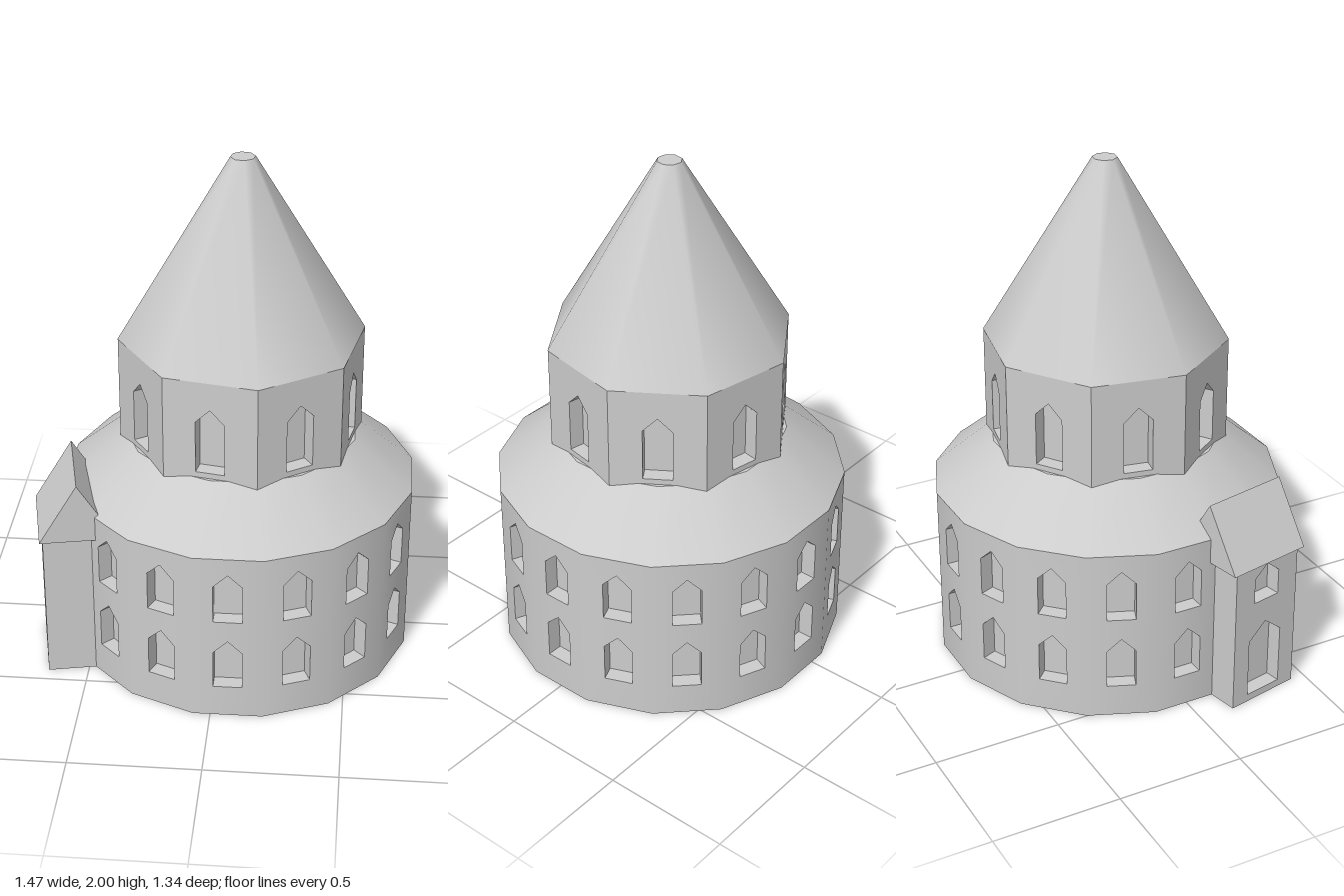
import * as THREE from 'three';
import { mergeGeometries } from 'three/addons/utils/BufferGeometryUtils.js';

const START = Math.PI / 16; // first corner of every ring
const NICHE = 0.06;         // window depth

const stone = new THREE.MeshStandardMaterial({ color: 0xcccccc });
stone.name = 'stone';

function mesh(name, geometry) {
  const m = new THREE.Mesh(geometry, stone);
  m.name = name;
  return m;
}

// Pointed window outline, anticlockwise
function windowOutline({ width, sill, shoulder, peak }) {
  const h = width / 2;
  return [[-h, sill], [h, sill], [h, shoulder], [0, peak], [-h, shoulder]]
    .map(([x, y]) => new THREE.Vector2(x, y));
}

// Reveal faces running back from a window outline
function revealGeometry(outline) {
  const pos = [];
  outline.forEach((a, i) => {
    const b = outline[(i + 1) % outline.length];
    pos.push(a.x, a.y, 0, b.x, b.y, 0, b.x, b.y, -NICHE);
    pos.push(a.x, a.y, 0, b.x, b.y, -NICHE, a.x, a.y, -NICHE);
  });
  const g = new THREE.BufferGeometry();
  g.setAttribute('position', new THREE.Float32BufferAttribute(pos, 3));
  g.computeVertexNormals();
  return g;
}

// Flat wall with recessed windows; a curve radius rounds its shading
function wallGeometry(width, y0, y1, windows, curve = 0) {
  const h = width / 2;
  const shape = new THREE.Shape([[-h, y0], [h, y0], [h, y1], [-h, y1]]
    .map(([x, y]) => new THREE.Vector2(x, y)));
  const parts = [];
  for (const w of windows) {
    const outline = windowOutline(w);
    shape.holes.push(new THREE.Path(outline));
    parts.push(revealGeometry(outline));
    const pane = new THREE.ShapeGeometry(new THREE.Shape(outline));
    parts.push(pane.translate(0, 0, -NICHE));
  }
  const face = new THREE.ShapeGeometry(shape);
  if (curve) {
    const p = face.attributes.position;
    for (let i = 0; i < p.count; i++) {
      const a = Math.atan2(p.getX(i), curve);
      face.attributes.normal.setXYZ(i, Math.sin(a), 0, Math.cos(a));
    }
  }
  parts.push(face);
  return mergeGeometries(parts.map((g) => {
    const n = g.index ? g.toNonIndexed() : g;
    n.deleteAttribute('uv');
    return n;
  }));
}

// Ring of equal walls around the y axis
function wallRing(name, sides, radius, y0, y1, windows, smooth, blank = -1) {
  const ring = new THREE.Group();
  ring.name = name;
  const apothem = radius * Math.cos(Math.PI / sides);
  const width = 2 * radius * Math.sin(Math.PI / sides);
  for (let k = 0; k < sides; k++) {
    const g = wallGeometry(width, y0, y1, k === blank ? [] : windows, smooth ? apothem : 0);
    g.translate(0, 0, apothem).rotateY(START + (2 * k + 1) * Math.PI / sides);
    ring.add(mesh(name + 'Panel', g));
  }
  return ring;
}

function cone(name, top, bottom, y0, y1, sides) {
  const g = new THREE.CylinderGeometry(top, bottom, y1 - y0, sides, 1, false, START);
  return mesh(name, g.translate(0, (y0 + y1) / 2, 0));
}

// Gabled stair annex; local +z points away from the drum
function makeAnnex() {
  const annex = new THREE.Group();
  annex.name = 'annex';
  const out = 0.135, half = 0.155, eave = 0.6, depth = 0.21;
  const front = wallGeometry(half * 2, 0, eave, [
    { width: 0.16, sill: 0.03, shoulder: 0.27, peak: 0.335 },
    { width: 0.12, sill: 0.435, shoulder: 0.54, peak: 0.59 },
  ]);
  annex.add(mesh('annexFront', front.translate(0, 0, out)));
  for (const s of [-1, 1]) {
    const side = new THREE.PlaneGeometry(depth, eave).rotateY(s * Math.PI / 2);
    annex.add(mesh('annexSide', side.translate(s * half, eave / 2, out - depth / 2)));
  }
  const floor = new THREE.PlaneGeometry(half * 2, depth).rotateX(Math.PI / 2);
  annex.add(mesh('annexFloor', floor.translate(0, 0, out - depth / 2)));

  // Ridge roof
  const gable = new THREE.Shape([
    new THREE.Vector2(-0.148, eave), new THREE.Vector2(0.148, eave), new THREE.Vector2(0, 0.84),
  ]);
  const roof = new THREE.ExtrudeGeometry(gable, { depth: 0.353, bevelEnabled: false });
  annex.add(mesh('annexRoof', roof.translate(0, 0, -0.1765).rotateY(Math.PI / 2)));

  annex.position.set(-0.555, 0, 0.2625);
  annex.rotation.y = -(Math.PI / 2 - 0.205);
  return annex;
}

export function createModel() {
  const model = new THREE.Group();
  model.name = 'roundTower';

  const tower = new THREE.Group();
  tower.name = 'tower';
  tower.position.x = 0.067;

  // Wide lower drum with two rows of windows, blank behind the annex
  tower.add(wallRing('drumWall', 16, 0.681, 0, 0.7, [
    { width: 0.11, sill: 0.13, shoulder: 0.285, peak: 0.337 },
    { width: 0.11, sill: 0.423, shoulder: 0.578, peak: 0.63 },
  ], true, 12));
  const floor = new THREE.CircleGeometry(0.681, 16, START).rotateX(Math.PI / 2);
  tower.add(mesh('drumFloor', floor));
  tower.add(cone('lowerRoof', 0.45, 0.682, 0.7, 0.895, 16));

  // Octagonal upper storey and spire
  tower.add(wallRing('upperWall', 8, 0.472, 0.86, 1.29, [
    { width: 0.112, sill: 0.917, shoulder: 1.125, peak: 1.18 },
  ], false));
  tower.add(cone('spire', 0.047, 0.473, 1.29, 2, 8));

  model.add(tower, makeAnnex());
  return model;
}
